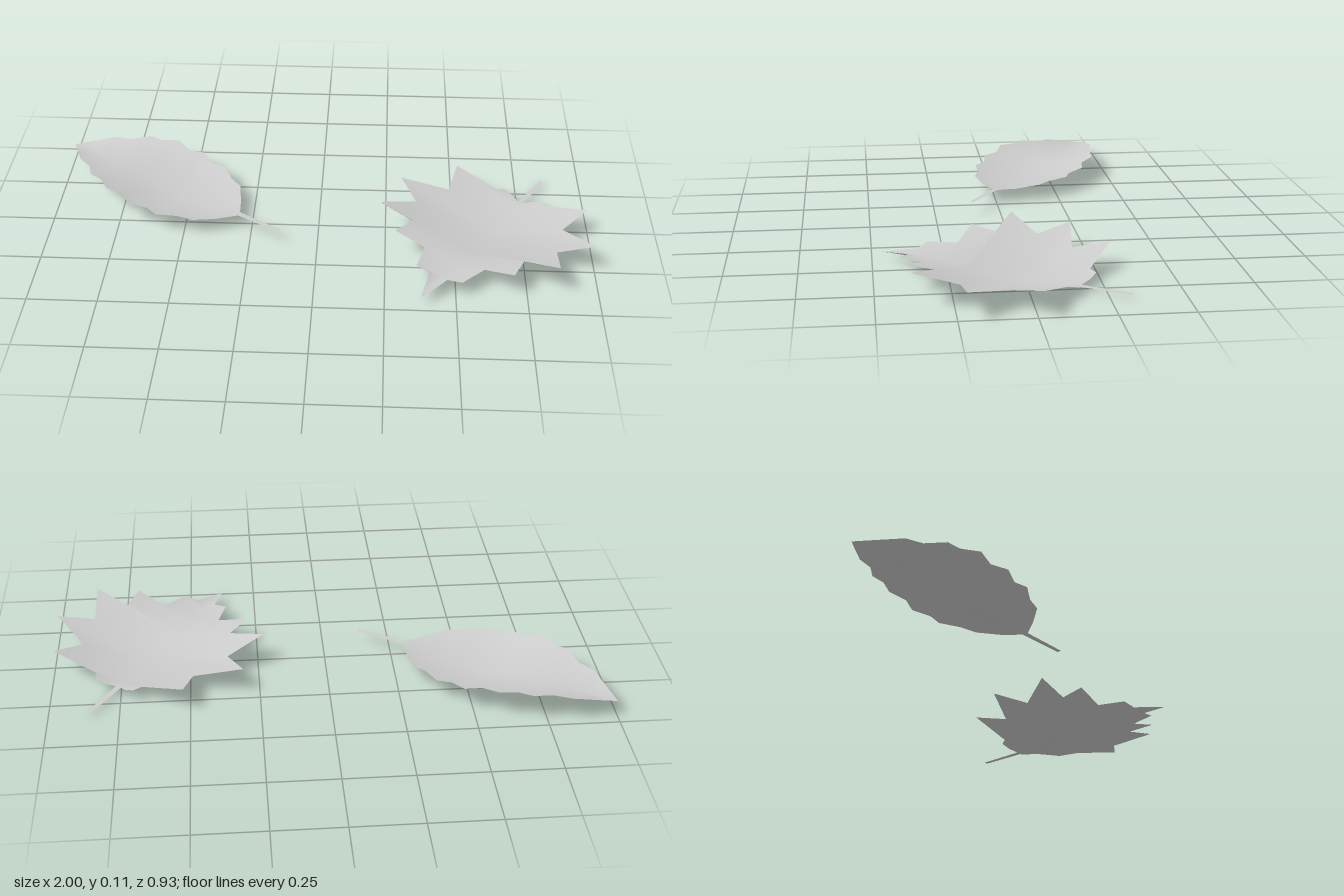
import * as THREE from 'three';
import { mergeVertices } from 'three/addons/utils/BufferGeometryUtils.js';

// height of the midrib at distance a from the leaf base
function ribHeight(rib, a) {
  for (let i = 1; i < rib.length; i++) {
    const [a0, y0] = rib[i - 1], [a1, y1] = rib[i];
    if (a <= a1) return y0 + (y1 - y0) * (a - a0) / (a1 - a0);
  }
  return rib[rib.length - 1][1];
}

// mirrored blade: each edge row is [along, sideways, height, midrib position]
function bladeGeometry(base, tip, rib, edge) {
  const d = new THREE.Vector2(tip[0] - base[0], tip[1] - base[1]).normalize();
  const pos = [], idx = [];
  const add = (a, s, y) => pos.push(base[0] + d.x * a + d.y * s, y, base[1] + d.y * a - d.x * s);
  for (const side of [1, -1]) {
    const start = pos.length / 3;
    for (const [a, s, y, m = a] of edge) {
      add(m, 0, ribHeight(rib, m));
      add(a, s * side, y);
    }
    const tri = (a, b, c) => (side > 0 ? idx.push(a, b, c) : idx.push(a, c, b));
    for (let i = 0; i < edge.length - 1; i++) {
      const m0 = start + 2 * i, o0 = m0 + 1, m1 = m0 + 2, o1 = m0 + 3;
      if (edge[i + 1][1] < edge[i][1]) {
        tri(m0, m1, o1);
        tri(m0, o1, o0);
      } else {
        tri(m0, m1, o0);
        tri(m1, o1, o0);
      }
    }
  }
  let g = new THREE.BufferGeometry();
  g.setAttribute('position', new THREE.Float32BufferAttribute(pos, 3));
  g.setIndex(idx);
  g = mergeVertices(g, 1e-4);
  g.computeVertexNormals();
  return g;
}

// flat ribbon stalk
function stalkGeometry(from, to, y, w0, w1) {
  const dx = to[0] - from[0], dz = to[1] - from[1], l = Math.hypot(dx, dz);
  const nx = dz / l / 2, nz = -dx / l / 2;
  const g = new THREE.BufferGeometry();
  g.setAttribute('position', new THREE.Float32BufferAttribute([
    from[0] + nx * w0, y, from[1] + nz * w0, from[0] - nx * w0, y, from[1] - nz * w0,
    to[0] + nx * w1, y, to[1] + nz * w1, to[0] - nx * w1, y, to[1] - nz * w1,
  ], 3));
  g.setIndex([0, 1, 2, 1, 3, 2]);
  g.computeVertexNormals();
  return g;
}

export function createModel() {
  const model = new THREE.Group();
  model.name = 'fallenLeaves';
  const leafGrey = new THREE.MeshStandardMaterial({ color: 0xcccccc, side: THREE.DoubleSide });
  leafGrey.name = 'leafGrey';

  const addLeaf = (name, blade, stalk) => {
    const leaf = new THREE.Group();
    leaf.name = name;
    for (const [part, geometry] of [['blade', blade], ['stalk', stalk]]) {
      const mesh = new THREE.Mesh(geometry, leafGrey);
      mesh.name = part;
      leaf.add(mesh);
    }
    model.add(leaf);
  };

  // oval leaf with a toothed edge
  addLeaf('ovalLeaf',
    bladeGeometry([-0.295, 0.01], [-1, -0.45],
      [[0, 0.105], [0.16, 0.082], [0.31, 0.077], [0.42, 0.09], [0.56, 0.117], [0.842, 0.115]],
      [[0, 0, 0.105], [0.054, 0.075, 0.108], [0.111, 0.143, 0.118], [0.169, 0.161, 0.122],
        [0.236, 0.205, 0.128], [0.288, 0.194, 0.13], [0.352, 0.223, 0.14], [0.408, 0.196, 0.146],
        [0.473, 0.213, 0.159], [0.535, 0.177, 0.157], [0.589, 0.174, 0.158], [0.647, 0.122, 0.148],
        [0.71, 0.105, 0.145], [0.776, 0.053, 0.13], [0.842, 0, 0.115]]),
    stalkGeometry([-0.305, 0], [-0.14, 0.108], 0.107, 0.022, 0.016));

  // lobed leaf with pointed tips
  addLeaf('lobedLeaf',
    bladeGeometry([0.76, -0.165], [0.375, 0.465],
      [[0, 0.075], [0.13, 0.061], [0.26, 0.061], [0.363, 0.078], [0.51, 0.095], [0.62, 0.089], [0.738, 0.088]],
      [[0, 0, 0.075, 0], [-0.02, 0.045, 0.088, 0], [-0.025, 0.08, 0.1, 0], [0.005, 0.1, 0.103, 0],
        [0, 0.277, 0.148, 0.03], [0.128, 0.24, 0.119, 0.13], [0.204, 0.406, 0.154, 0.2],
        [0.283, 0.293, 0.13, 0.28], [0.418, 0.37, 0.174, 0.4], [0.412, 0.228, 0.141, 0.42],
        [0.514, 0.2435, 0.15, 0.49], [0.506, 0.122, 0.118, 0.52], [0.612, 0.093, 0.115, 0.59],
        [0.617, 0.037, 0.107, 0.63], [0.738, 0, 0.088, 0.738]]),
    stalkGeometry([0.755, -0.157], [0.857, -0.322], 0.076, 0.022, 0.016));

  return model;
}
